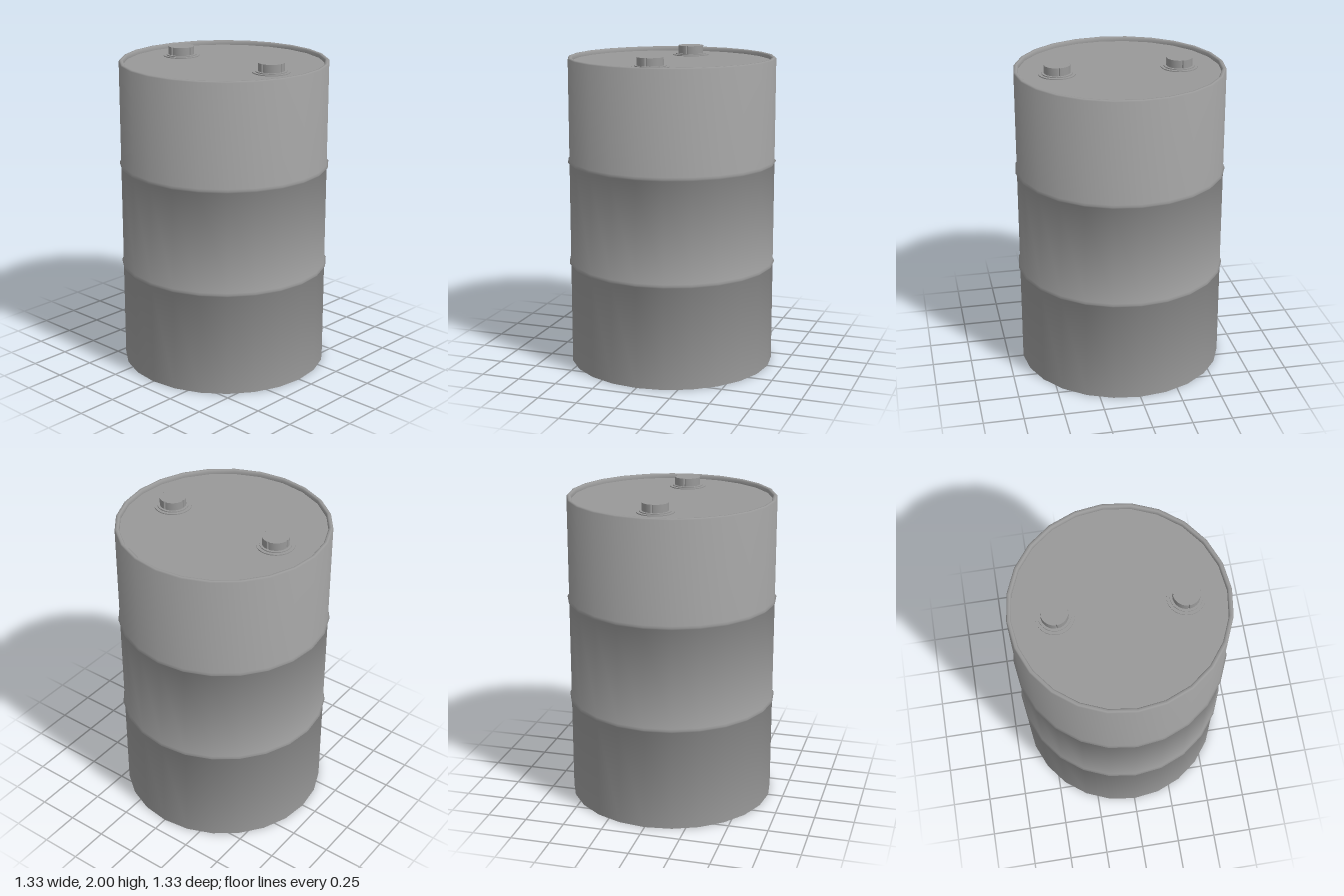
import * as THREE from 'three';
import { toCreasedNormals } from 'three/addons/utils/BufferGeometryUtils.js';

const SIDES = 24;
const paint = new THREE.MeshStandardMaterial({ color: 0x999999 });

function mesh(name, geometry) {
  const m = new THREE.Mesh(geometry, paint);
  m.name = name;
  return m;
}

const lathe = (points, sides) =>
  new THREE.LatheGeometry(points.map(([r, y]) => new THREE.Vector2(r, y)), sides);

// Lathe whose normals average neighbouring segments equally, so bends shade softly into long walls
function softLathe(points, sides) {
  const g = lathe(points, sides);
  const segments = points.slice(1).map(([r, y], i) =>
    new THREE.Vector2(y - points[i][1], points[i][0] - r).normalize());
  const normals = points.map((_, j) => {
    const before = segments[Math.max(j - 1, 0)];
    const after = segments[Math.min(j, segments.length - 1)];
    return before.clone().add(after).normalize();
  });
  for (let i = 0; i <= sides; i++) {
    const a = i / sides * Math.PI * 2;
    normals.forEach((n, j) =>
      g.attributes.normal.setXYZ(i * points.length + j, n.x * Math.sin(a), n.y, n.x * Math.cos(a)));
  }
  return g;
}

// Round cap with four small V notches around its edge
function notchedCap(radius, height) {
  const shape = new THREE.Shape();
  const half = 0.07;
  for (let i = 0; i < 4; i++) {
    const a = i * Math.PI / 2;
    const at = (r, t) => [r * Math.cos(t), r * Math.sin(t)];
    if (i === 0) shape.moveTo(...at(radius, a - half));
    else shape.lineTo(...at(radius, a - half));
    shape.lineTo(...at(radius - 0.007, a));
    shape.lineTo(...at(radius, a + half));
    shape.absarc(0, 0, radius, a + half, a + Math.PI / 2 - half, false);
  }
  const g = new THREE.ExtrudeGeometry(shape, { depth: height, bevelEnabled: false, curveSegments: 6 });
  g.rotateX(-Math.PI / 2);
  return toCreasedNormals(g, 0.6);
}

export function createModel() {
  const drum = new THREE.Group();
  drum.name = 'drum';
  const R = 0.653, inner = R - 0.027, top = 1.965, lidY = 1.938;

  // Wall with two rolling hoops and a rounded rim that drops to the sunken lid
  const wall = [[R, 0]];
  for (const y of [0.655, 1.31]) wall.push([R, y - 0.012], [R + 0.01, y], [R, y + 0.012]);
  wall.push([R, top - 0.007], [R - 0.007, top], [inner + 0.007, top], [inner, top - 0.007], [inner, lidY]);
  drum.add(mesh('wall', softLathe(wall, SIDES)));

  const lid = mesh('lid', new THREE.CircleGeometry(inner, SIDES).rotateX(-Math.PI / 2));
  lid.position.y = lidY;
  drum.add(lid);
  drum.add(mesh('base', new THREE.CircleGeometry(R, SIDES).rotateX(Math.PI / 2)));

  // Two bungs, each a stepped flange with a notched cap
  for (const [name, z] of [['frontBung', 0.387], ['backBung', -0.376]]) {
    const bung = new THREE.Group();
    bung.name = name;
    const flange = lathe([[0.115, 0], [0.115, 0.006], [0.096, 0.006], [0.096, 0.012], [0, 0.012]], 32);
    bung.add(mesh('flange', toCreasedNormals(flange, 0.6)));
    const cap = mesh('cap', notchedCap(0.081, 2 - lidY - 0.012));
    cap.position.y = 0.012;
    bung.add(cap);
    bung.position.set(0, lidY, z);
    drum.add(bung);
  }
  return drum;
}
